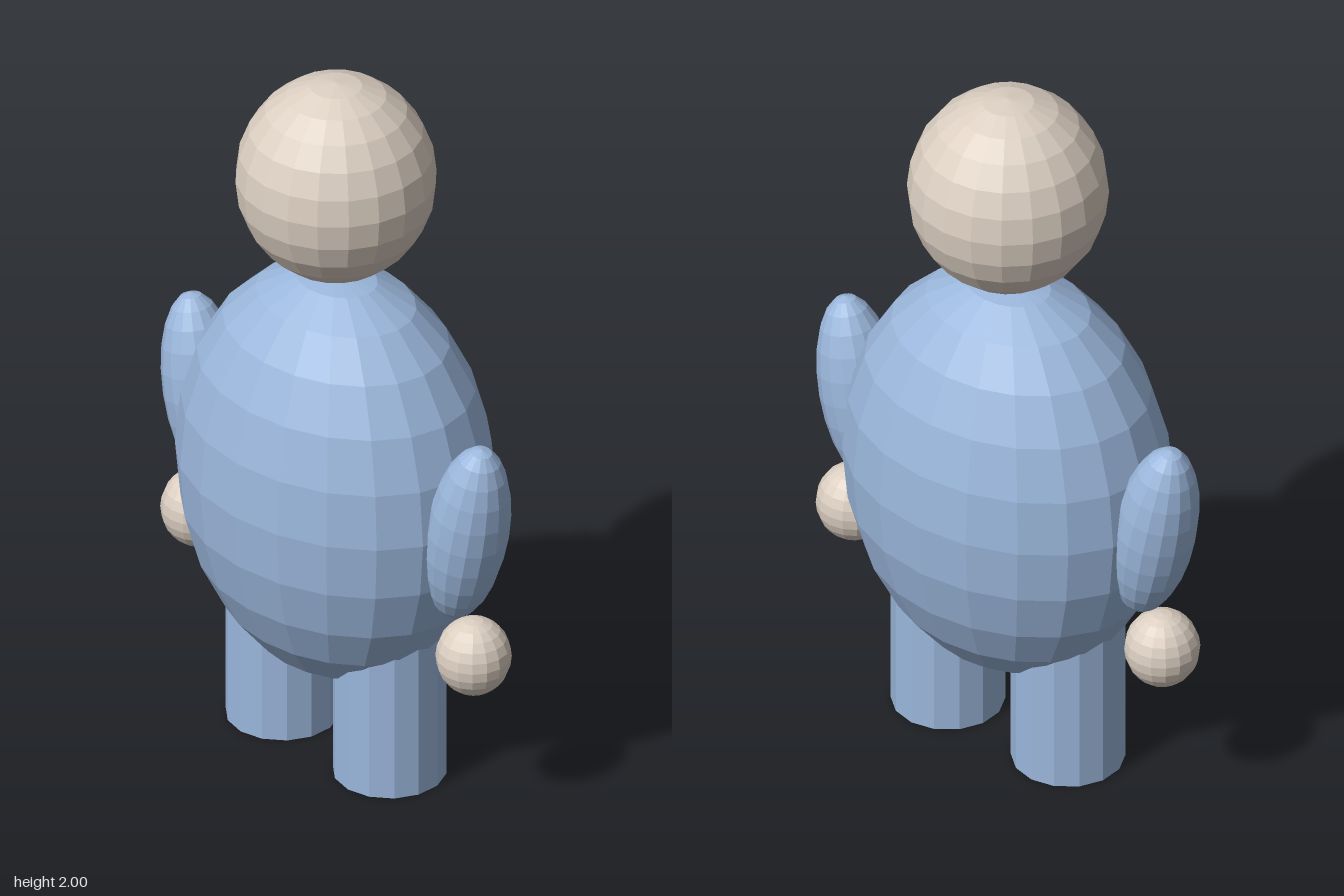
import * as THREE from 'three';

export function createModel() {
  const group = new THREE.Group();
  const material = (name, color) =>
    new THREE.MeshStandardMaterial({ name, color, flatShading: true });
  const blue = material('blue', 0x9bb7dc);
  const skin = material('skin', 0xdccfc2);

  const add = (name, geometry, mat, x, y) => {
    const mesh = new THREE.Mesh(geometry, mat);
    mesh.name = name;
    mesh.position.set(x, y, 0);
    group.add(mesh);
    return mesh;
  };
  const ellipsoid = (rx, ry, rz, around = 20, rings = 12) =>
    new THREE.SphereGeometry(1, around, rings).scale(rx, ry, rz);

  // Head and torso
  add('head', ellipsoid(0.265, 0.285, 0.265), skin, 0, 1.715);
  add('torso', ellipsoid(0.475, 0.6, 0.368), blue, 0, 0.83);

  // Paired limbs
  for (const [side, s] of [['left', 1], ['right', -1]]) {
    const arm = add(side + 'Arm', ellipsoid(0.11, 0.28, 0.11, 16, 12), blue, s * 0.5, 0.85);
    arm.rotation.z = -s * 0.2;
    add(side + 'Hand', ellipsoid(0.1, 0.108, 0.1, 16, 12), skin, s * 0.524, 0.485);
    add(side + 'Leg', new THREE.CylinderGeometry(0.15, 0.15, 0.5, 14), blue, s * 0.204, 0.25);
  }
  return group;
}
